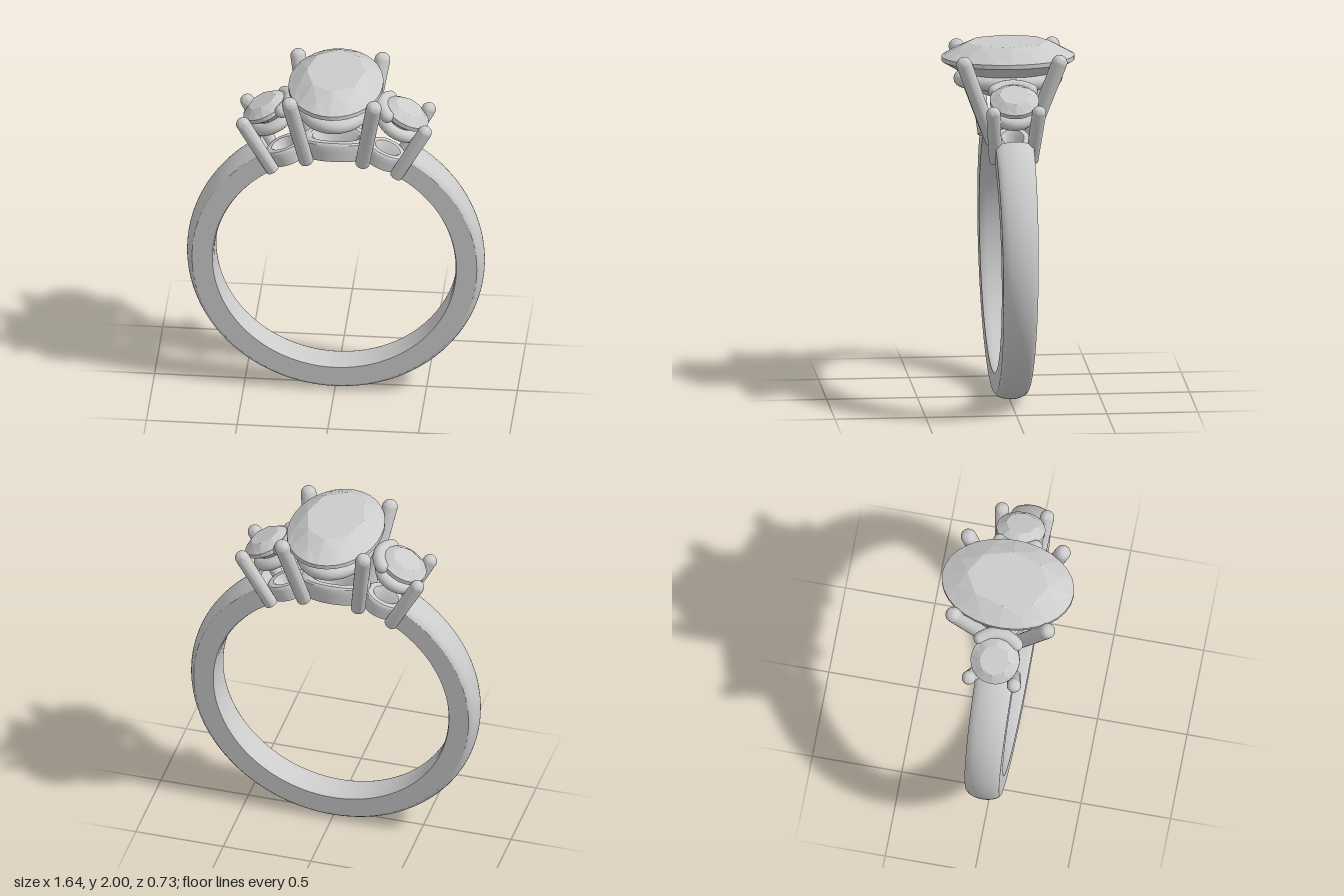
import * as THREE from 'three';
import { toCreasedNormals } from 'three/addons/utils/BufferGeometryUtils.js';

const metal = new THREE.MeshStandardMaterial({ color: 0xcccccc, side: THREE.DoubleSide });
const stone = new THREE.MeshStandardMaterial({ color: 0xcccccc, flatShading: true });
const CY = 0.825, INNER = 0.665; // centre height and finger radius

function add(parent, name, geometry, material = metal) {
  const mesh = new THREE.Mesh(geometry, material);
  mesh.name = name;
  parent.add(mesh);
  return mesh;
}

// Moves every vertex by a rule
function warp(geometry, rule) {
  const p = geometry.attributes.position, v = new THREE.Vector3();
  for (let i = 0; i < p.count; i++) {
    rule(v.fromBufferAttribute(p, i));
    p.setXYZ(i, v.x, v.y, v.z);
  }
  return geometry;
}

const bandWidth = (v) => { v.z *= 0.086 + 0.013 * (v.y + 0.8); };

// Domed band, open at the top, slightly wider there
function addBand(parent) {
  const profile = [[0.673, -1], [0.785, -1], [0.79, -0.97]];
  for (let i = -4; i <= 4; i++) profile.push([0.82 - 0.026 * (i / 5) ** 2, i * 0.2]);
  profile.push([0.79, 0.97], [0.785, 1], [0.673, 1], [0.667, 0.85], [INNER, 0.6], [INNER, -0.6], [0.667, -0.85], [0.673, -1]);
  const pts = profile.map(([r, z]) => new THREE.Vector2(r, z));
  const half = THREE.MathUtils.degToRad(149);
  const geo = warp(new THREE.LatheGeometry(pts, 160, -half, 2 * half).rotateX(Math.PI / 2), bandWidth);
  add(parent, 'band', toCreasedNormals(geo, 0.45)).position.y = CY;
  for (const s of [1, -1]) {
    const cap = new THREE.ShapeGeometry(new THREE.Shape(pts.slice(0, -1)));
    cap.rotateX(Math.PI / 2).rotateZ(Math.PI / 2 - s * (Math.PI - half));
    add(parent, 'bandEnd', warp(cap, bandWidth)).position.y = CY;
  }
}

// Flared collar bent to follow the finger opening
function addBase(parent, name, angle, hx, height, hz, hole) {
  const pts = [[1, 0], [1, 0.5], [1, 0.8], [0.97, 0.93], [0.9, 1], [hole + 0.3, 1], [hole + 0.24, 0.93], [hole, 0], [1, 0]];
  const geo = new THREE.LatheGeometry(pts.map((p) => new THREE.Vector2(...p)), 48);
  warp(geo, (v) => {
    const a = angle + v.x * hx / 0.7, r = INNER + v.y * height;
    v.set(r * Math.sin(a), CY + r * Math.cos(a), v.z * hz);
  });
  add(parent, name, toCreasedNormals(geo, 0.6));
}

// Round prong with a flat foot and a domed tip
function addProng(parent, name, foot, tip, r) {
  const a = new THREE.Vector3(...foot), d = new THREE.Vector3(...tip).sub(a);
  const pts = [new THREE.Vector2(0, 0), new THREE.Vector2(r * 0.92, 0)];
  for (let i = 0; i <= 8; i++) {
    const t = i / 8 * Math.PI / 2;
    pts.push(new THREE.Vector2(r * Math.cos(t), d.length() + r * Math.sin(t)));
  }
  const prong = add(parent, name, toCreasedNormals(new THREE.LatheGeometry(pts, 24), 0.6));
  prong.position.copy(a);
  prong.quaternion.setFromUnitVectors(new THREE.Vector3(0, 1, 0), d.normalize());
}

// Brilliant cut with its girdle at y = 0
function gemGeometry(rx, rz, crown, depth) {
  const pos = [], girdle = 0.012;
  const P = (k, r, y) => {
    const a = k * Math.PI / 4;
    return new THREE.Vector3(rx * r * Math.cos(a), y, rz * r * Math.sin(a));
  };
  const tri = (a, b, c) => {
    const n = b.clone().sub(a).cross(c.clone().sub(a));
    const mid = a.clone().add(b).add(c);
    for (const v of n.dot(mid) > 0 ? [a, b, c] : [a, c, b]) pos.push(v.x, v.y, v.z);
  };
  const top = new THREE.Vector3(0, crown, 0), culet = new THREE.Vector3(0, -depth, 0);
  for (let k = 0; k < 8; k++) {
    const t0 = P(k, 0.62, crown), t1 = P(k + 1, 0.62, crown);
    const star = P(k + 0.5, 0.82, crown * 0.56), low = P(k + 0.5, 0.32, -depth * 0.7);
    tri(top, t0, t1);
    tri(t0, t1, star);
    tri(t0, star, P(k, 1, girdle));
    tri(t1, star, P(k + 1, 1, girdle));
    tri(culet, low, P(k, 1, -girdle));
    tri(culet, low, P(k + 1, 1, -girdle));
    for (let j = 0; j < 4; j++) {
      const a = k + j / 4, b = a + 0.25;
      tri(star, P(a, 1, girdle), P(b, 1, girdle));
      tri(low, P(a, 1, -girdle), P(b, 1, -girdle));
      tri(P(a, 1, girdle), P(b, 1, girdle), P(a, 1, -girdle));
      tri(P(b, 1, girdle), P(b, 1, -girdle), P(a, 1, -girdle));
    }
  }
  const geo = new THREE.BufferGeometry();
  geo.setAttribute('position', new THREE.Float32BufferAttribute(pos, 3));
  geo.computeVertexNormals();
  return geo;
}

// Oval wire gallery ring
class OvalCurve extends THREE.Curve {
  constructor(rx, rz) { super(); this.rx = rx; this.rz = rz; }
  getPoint(t, out = new THREE.Vector3()) {
    const a = t * Math.PI * 2;
    return out.set(this.rx * Math.cos(a), 0, this.rz * Math.sin(a));
  }
}

function centreSetting() {
  const g = new THREE.Group();
  g.name = 'centreSetting';
  addBase(g, 'centreBase', 0, 0.185, 0.11, 0.125, 0.4);
  add(g, 'centreGallery', new THREE.TubeGeometry(new OvalCurve(0.175, 0.26), 80, 0.04, 16, true)).position.y = 1.795;
  add(g, 'centreStone', gemGeometry(0.26, 0.367, 0.09, 0.23), stone).position.y = 1.91;
  for (const x of [1, -1]) for (const z of [1, -1]) {
    addProng(g, 'centreProng', [x * 0.155, 1.475, z * 0.1], [x * 0.232, 1.925, z * 0.263], 0.043);
  }
  return g;
}

function sideSetting() {
  const g = new THREE.Group();
  g.name = 'sideSetting';
  addBase(g, 'sideBase', 0.39, 0.11, 0.09, 0.1, 0.33);
  for (const z of [1, -1]) addProng(g, 'sideProng', [0.34, 1.405, z * 0.1], [0.5, 1.705, z * 0.126], 0.039);
  // Tilted stone with its gallery and the curved bar holding its inner edge
  const head = new THREE.Group();
  head.name = 'sideHead';
  head.position.set(0.385, 1.745, 0);
  head.rotation.z = THREE.MathUtils.degToRad(-27);
  add(head, 'sideStone', gemGeometry(0.135, 0.135, 0.05, 0.11), stone);
  add(head, 'sideGallery', new THREE.TorusGeometry(0.093, 0.035, 16, 48).rotateX(Math.PI / 2)).position.y = -0.085;
  const sweep = 0.78, R = 0.143;
  const bar = new THREE.TorusGeometry(R, 0.037, 16, 24, 2 * sweep);
  add(head, 'innerBar', bar.rotateZ(Math.PI - sweep).rotateX(Math.PI / 2)).position.y = -0.008;
  for (const s of [1, -1]) {
    add(head, 'innerBarTip', new THREE.SphereGeometry(0.037, 20, 14))
      .position.set(-R * Math.cos(sweep), -0.008, s * R * Math.sin(sweep));
  }
  g.add(head);
  return g;
}

export function createModel() {
  const model = new THREE.Group();
  model.name = 'threeStoneRing';
  addBand(model);
  model.add(centreSetting());
  const left = sideSetting(), right = sideSetting();
  right.rotation.y = Math.PI;
  model.add(left, right);
  return model;
}
